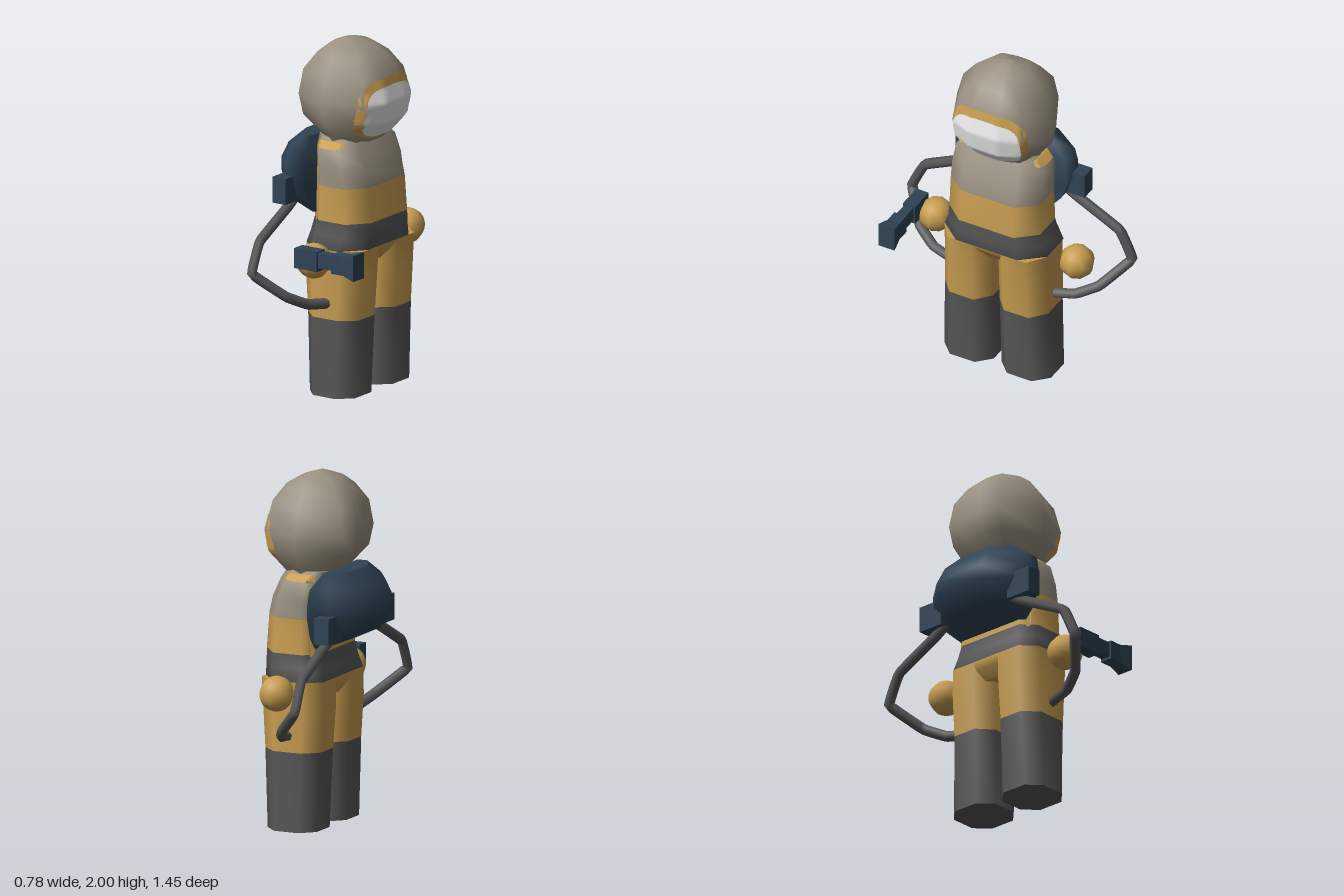
import * as THREE from 'three';

const paint = (name, color) => {
  const m = new THREE.MeshStandardMaterial({ color });
  m.name = name;
  return m;
};

// Loft through rings [y, xBack, xFront, zCentre, halfWidth], listed top to bottom.
// section: half outline from front to back as [u along x, v along z], mirrored in z.
// bands: material index of each gap between rings.
function loft(section, rings, bands = []) {
  const outline = [...section, ...[...section].reverse().map(([u, v]) => [u, -v])];
  const n = outline.length, pos = [], index = [];
  const geo = new THREE.BufferGeometry();
  const addRing = ([y, xb, xf, zc, w]) =>
    outline.forEach(([u, v]) => pos.push(xb + u * (xf - xb), y, zc + v * w));
  rings.forEach(addRing);
  const cap = (ring, top, mat) => {
    const base = pos.length / 3, start = index.length;
    addRing(ring);
    pos.push((ring[1] + ring[2]) / 2, ring[0], ring[3]);
    for (let i = 0; i < n; i++) {
      const a = base + i, b = base + (i + 1) % n;
      index.push(base + n, top ? b : a, top ? a : b);
    }
    geo.addGroup(start, n * 3, mat);
  };
  for (let r = 0; r < rings.length - 1; r++) {
    geo.addGroup(index.length, n * 6, bands[r] ?? 0);
    for (let i = 0; i < n; i++) {
      const a = r * n + i, b = r * n + (i + 1) % n;
      index.push(a, b, a + n, b, b + n, a + n);
    }
  }
  cap(rings[0], true, bands[0] ?? 0);
  cap(rings[rings.length - 1], false, bands[rings.length - 2] ?? 0);
  geo.setAttribute('position', new THREE.Float32BufferAttribute(pos, 3));
  geo.setIndex(index);
  geo.computeVertexNormals();
  return geo;
}

// Thin painted patch projected onto a mesh; place(p, q) gives the ray start
// for a point of a rounded unit shape.
function patch(target, place, dir, lift, power) {
  const ray = new THREE.Raycaster(), pos = [], index = [], R = 12, S = 48;
  const round = (t) => Math.sign(t) * Math.abs(t) ** power;
  for (let r = 0; r <= R; r++) for (let s = 0; s < S; s++) {
    const a = s / S * Math.PI * 2, k = r / R;
    const from = place(k * round(Math.cos(a)), k * round(Math.sin(a)));
    ray.set(from, dir);
    const hit = ray.intersectObject(target)[0];
    const p = (hit ? hit.point : from).clone().addScaledVector(dir, -lift);
    pos.push(p.x, p.y, p.z);
    if (r < R) {
      const i = r * S + s, j = r * S + (s + 1) % S;
      index.push(i, i + S, j + S, i, j + S, j);
    }
  }
  const geo = new THREE.BufferGeometry();
  geo.setAttribute('position', new THREE.Float32BufferAttribute(pos, 3));
  geo.setIndex(index);
  geo.computeVertexNormals();
  return geo;
}

export function createModel() {
  const model = new THREE.Group();
  const tan = paint('helmet tan', 0x999080);
  const ochre = paint('suit ochre', 0xc69c50);
  const dark = paint('dark grey', 0x565656);
  const navy = paint('navy', 0x2f4354);
  const white = paint('visor white', 0xeeeeee);
  const add = (name, geo, mat, x = 0, y = 0, z = 0) => {
    const mesh = new THREE.Mesh(geo, mat);
    mesh.name = name;
    mesh.position.set(x, y, z);
    model.add(mesh);
    return mesh;
  };

  // Helmet
  const helmet = add('helmet', loft(
    [[1, 0.3], [0.9, 0.7], [0.49, 1], [0.05, 0.62], [0, 0.17]], [
      [2.0, -0.06, -0.02, -0.01, 0.03], [1.97, -0.14, 0.07, -0.01, 0.13],
      [1.92, -0.2, 0.15, -0.01, 0.2], [1.82, -0.27, 0.225, -0.01, 0.28],
      [1.68, -0.29, 0.26, -0.01, 0.315], [1.56, -0.265, 0.24, -0.01, 0.295],
      [1.47, -0.18, 0.165, -0.01, 0.225], [1.42, -0.14, 0.11, -0.01, 0.21],
    ]), tan);

  // Visor and its rim
  const inward = new THREE.Vector3(-1, 0, 0);
  const face = (cy, hy, hz) => (p, q) => new THREE.Vector3(1, cy + hy * q, -0.01 - hz * p);
  add('visorRim', patch(helmet, face(1.64, 0.18, 0.235), inward, 0.005, 0.68), ochre);
  add('visor', patch(helmet, face(1.622, 0.15, 0.213), inward, 0.0095, 0.68), white);

  // Torso with coloured bands, closing at the crotch
  const torso = add('torso', loft(
    [[1, 0.6], [0.72, 1], [0.22, 1], [0, 0.75]], [
      [1.46, -0.15, 0.11, -0.01, 0.2], [1.4, -0.13, 0.135, -0.01, 0.275],
      [1.3, -0.125, 0.18, -0.01, 0.283], [1.2, -0.125, 0.203, -0.01, 0.283],
      [1.0, -0.135, 0.217, -0.01, 0.288], [0.92, -0.155, 0.215, -0.01, 0.3],
      [0.85, -0.172, 0.212, -0.01, 0.325], [0.8, -0.16, 0.18, -0.01, 0.29],
      [0.74, -0.12, 0.13, -0.01, 0.22],
    ], [0, 0, 0, 1, 2, 2, 1, 1]), [tan, ochre, dark]);

  const down = new THREE.Vector3(0, -1, 0);
  for (const s of [1, -1]) {
    const side = s > 0 ? 'left' : 'right';
    // Model faces +x; s picks the +z or -z limb
    const end = s > 0 ? 'Near' : 'Far';

    // Shoulder patches
    add('shoulderPatch' + end, patch(torso, (p, q) =>
      new THREE.Vector3(-0.02 + 0.09 * p, 1.44, -0.01 + s * 0.235 - 0.035 * q), down, 0.006, 0.8), ochre);

    // Legs with dark boots
    add('leg' + end, loft(
      [[1, 0.5], [0.74, 1], [0.25, 1], [0, 0.5]], [
        [0.85, -0.172, 0.212, -0.01 + s * 0.17, 0.153],
        [0.7, -0.175, 0.203, -0.01 + s * 0.171, 0.153],
        [0.45, -0.157, 0.187, -0.01 + s * 0.174, 0.154],
        [0, -0.14, 0.167, -0.012 + s * 0.182, 0.157],
      ], [0, 0, 1]), [ochre, dark]);

    // Round hands
    add('hand' + end, new THREE.SphereGeometry(0.1, 8, 14), ochre, 0.01, 0.81, -0.027 + s * 0.448);

    // Bent hoses from backpack to leg
    const path = new THREE.CatmullRomCurve3([
      [-0.23, 1.12, 0.24], [-0.22, 1.07, 0.34], [-0.218, 0.93, 0.62], [-0.215, 0.76, 0.7],
      [-0.07, 0.62, 0.57], [-0.01, 0.56, 0.45], [0.025, 0.535, 0.28],
    ].map(([x, y, z]) => new THREE.Vector3(x, y, s * z)), false, 'catmullrom', 0.08);
    add('hose' + end, new THREE.TubeGeometry(path, 48, 0.03, 6), dark);

    // Backpack side connectors
    add('packConnector' + end, new THREE.BoxGeometry(0.09, 0.15, 0.16), navy, -0.235, 1.17, s * 0.33);
  }

  // Backpack
  add('backpack', loft(
    [[1, 1], [0.5, 1], [0, 0.48]], [
      [1.46, -0.27, -0.15, 0, 0.21], [1.38, -0.35, -0.12, 0, 0.325],
      [1.29, -0.395, -0.11, 0, 0.335], [1.21, -0.395, -0.11, 0, 0.335],
      [1.1, -0.32, -0.11, 0, 0.3], [1.03, -0.15, -0.11, 0, 0.24],
    ]), navy);

  // Handheld tool: stepped body and flared nozzle
  const gunZ = 0.527;
  add('toolBody', new THREE.BoxGeometry(0.155, 0.115, 0.078), navy, 0.055, 0.853, gunZ);
  add('toolNeck', new THREE.BoxGeometry(0.11, 0.085, 0.058), navy, 0.185, 0.86, gunZ);
  add('toolBarrel', new THREE.BoxGeometry(0.08, 0.11, 0.076), navy, 0.27, 0.858, gunZ);
  const nozzle = new THREE.BoxGeometry(0.08, 0.11, 0.076);
  const np = nozzle.attributes.position;
  for (let i = 0; i < np.count; i++) if (np.getX(i) > 0) {
    np.setY(i, np.getY(i) * 1.36);
    np.setZ(i, np.getZ(i) * 1.35);
  }
  nozzle.computeVertexNormals();
  add('toolNozzle', nozzle, navy, 0.35, 0.858, gunZ);

  return model;
}
